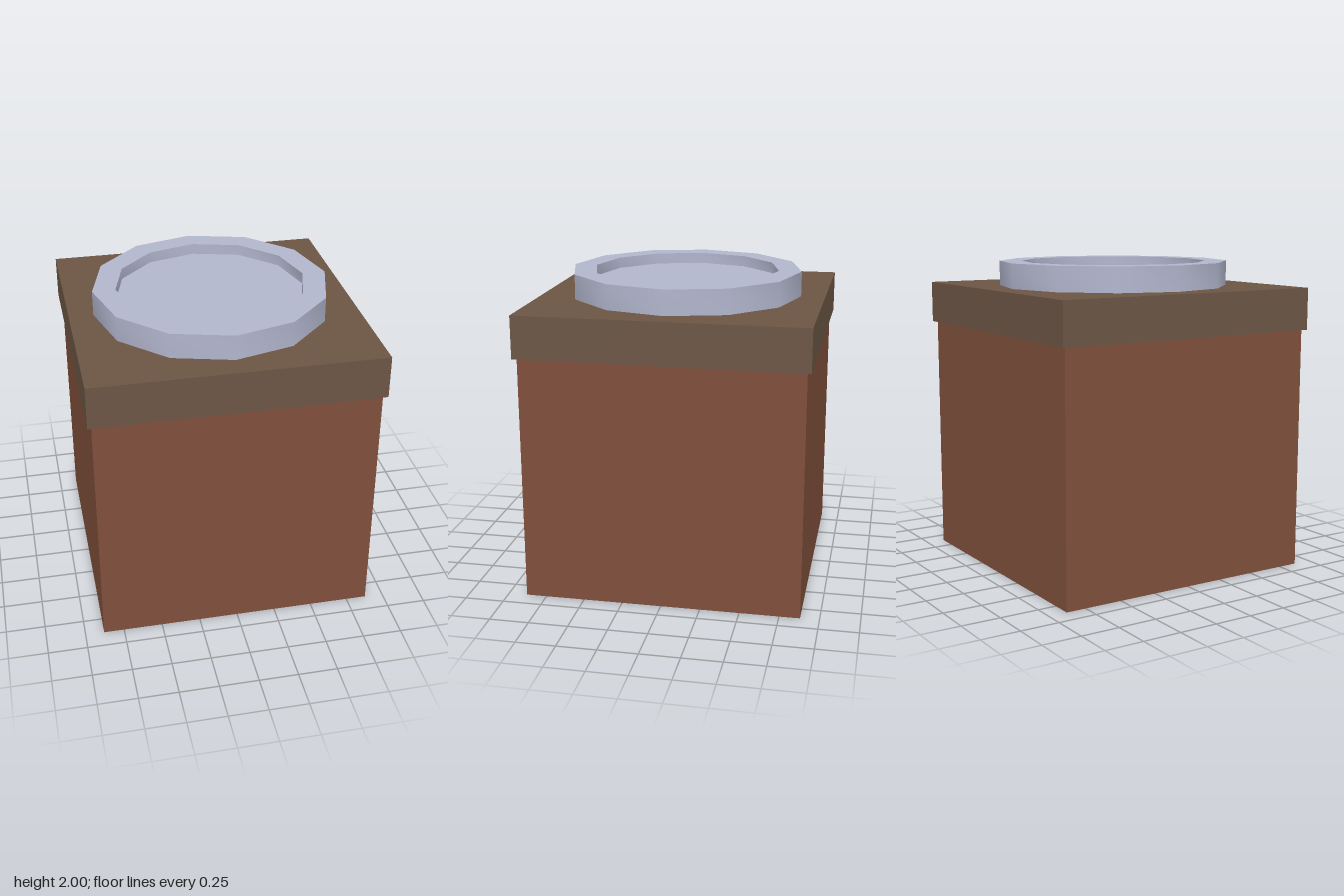
import * as THREE from 'three';
import { toCreasedNormals } from 'three/addons/utils/BufferGeometryUtils.js';

export function createModel() {
  const model = new THREE.Group();
  const brick = new THREE.MeshStandardMaterial({ color: 0x80503c });
  const wood = new THREE.MeshStandardMaterial({ color: 0x6c5645 });
  const metal = new THREE.MeshStandardMaterial({ color: 0xb2b6cd });

  const add = (name, geometry, material, y) => {
    const mesh = new THREE.Mesh(geometry, material);
    mesh.name = name;
    mesh.position.y = y;
    model.add(mesh);
  };

  // Square body with a slightly wider slab on top
  add('body', new THREE.BoxGeometry(1.76, 1.57, 1.76), brick, 0.785);
  add('topSlab', new THREE.BoxGeometry(1.81, 0.27, 1.81), wood, 1.705);

  // Twelve-sided raised rim: outer wall, flat top, inner wall
  const profile = [[0.75, 0], [0.75, 0.16], [0.603, 0.16], [0.603, 0.09]]
    .map(([r, y]) => new THREE.Vector2(r, y));
  const rim = toCreasedNormals(new THREE.LatheGeometry(profile, 12), 0.6);
  add('rim', rim, metal, 1.84);

  // Recessed floor inside the rim
  const floor = new THREE.CircleGeometry(0.603, 12).rotateX(-Math.PI / 2);
  add('recessedFloor', floor, metal, 1.93);

  return model;
}
